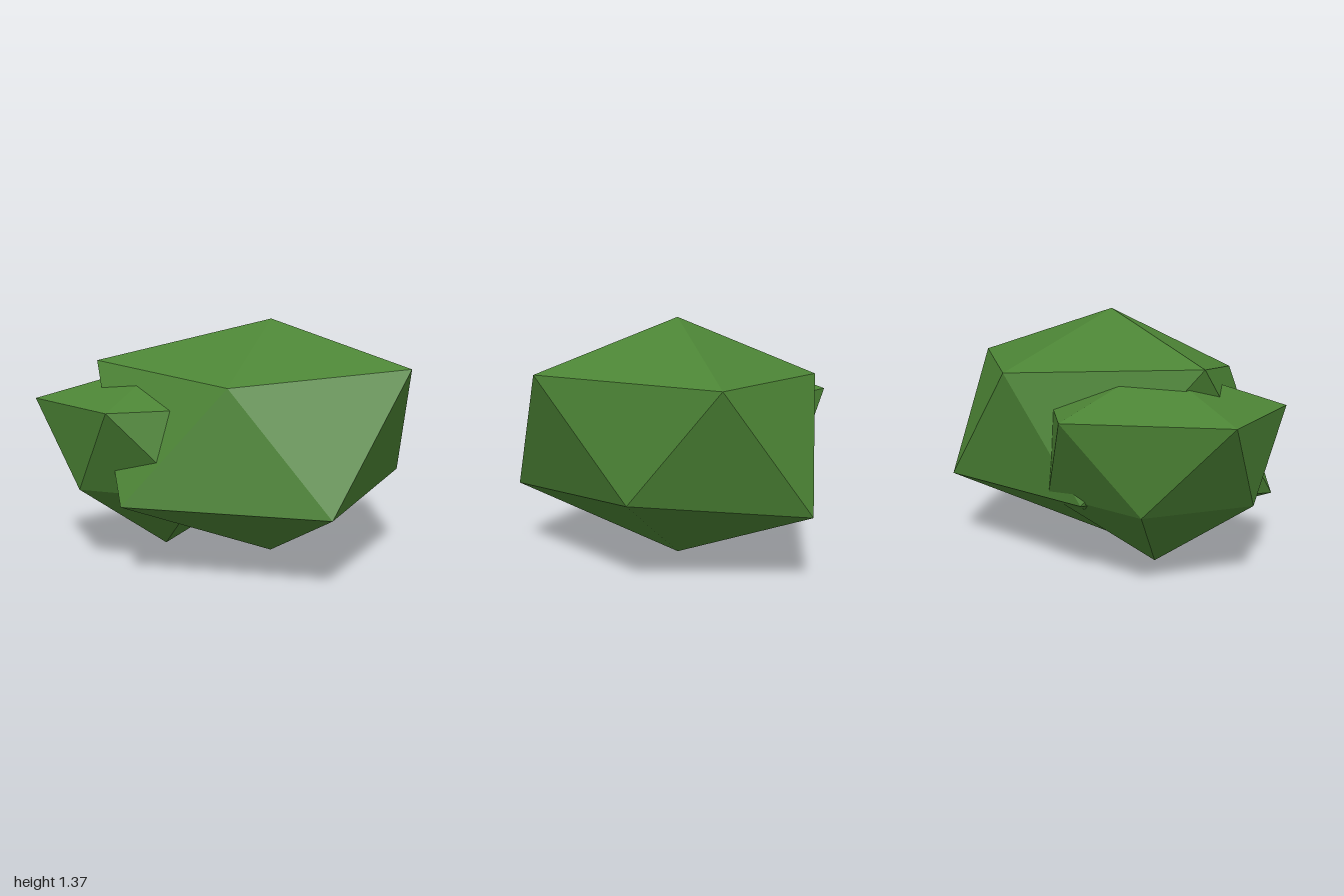
import * as THREE from 'three';

// Faceted twenty-sided clump: a top point, two staggered rings of five, a bottom point.
// Rings run from +x towards +z; each lower corner sits between two upper ones.
function clump(name, top, upper, lower, bottom, material) {
  const points = [];
  const face = (...corners) => corners.forEach((c) => points.push(...c));
  for (let i = 0; i < 5; i++) {
    const j = (i + 1) % 5;
    face(top, upper[j], upper[i]);
    face(upper[i], upper[j], lower[i]);
    face(lower[i], upper[j], lower[j]);
    face(bottom, lower[i], lower[j]);
  }
  const geometry = new THREE.BufferGeometry();
  geometry.setAttribute('position', new THREE.Float32BufferAttribute(points, 3));
  geometry.computeVertexNormals();
  const mesh = new THREE.Mesh(geometry, material);
  mesh.name = name;
  return mesh;
}

export function createModel() {
  const group = new THREE.Group();
  group.name = 'bush';
  const leafGreen = new THREE.MeshStandardMaterial({ color: 0x4c8435, flatShading: true });
  leafGreen.name = 'leafGreen';

  // Main body of foliage
  group.add(clump('largeClump',
    [0.1, 1.365, 0.06],
    [[0.995, 1.08, 0.055], [0.39, 1.105, 0.88], [-0.485, 1.02, 0.44], [-0.73, 1.13, -0.49], [0.355, 1.06, -0.66]],
    [[0.73, 0.48, 0.47], [-0.215, 0.39, 0.94], [-0.9, 0.395, 0.06], [-0.16, 0.42, -0.73], [0.885, 0.4, -0.46]],
    [0.1, 0, 0.06], leafGreen));

  // Smaller clump growing out of the back right
  group.add(clump('smallClump',
    [-0.385, 1.12, -0.33],
    [[0.28, 0.89, -0.34], [-0.18, 0.89, 0.27], [-0.97, 0.89, 0.05], [-1, 0.91, -0.74], [-0.17, 0.89, -0.94]],
    [[0.1, 0.43, 0.05], [-0.58, 0.43, 0.28], [-0.94, 0.43, -0.33], [-0.54, 0.43, -0.79], [0.08, 0.43, -0.66]],
    [-0.385, 0.04, -0.33], leafGreen));

  return group;
}
